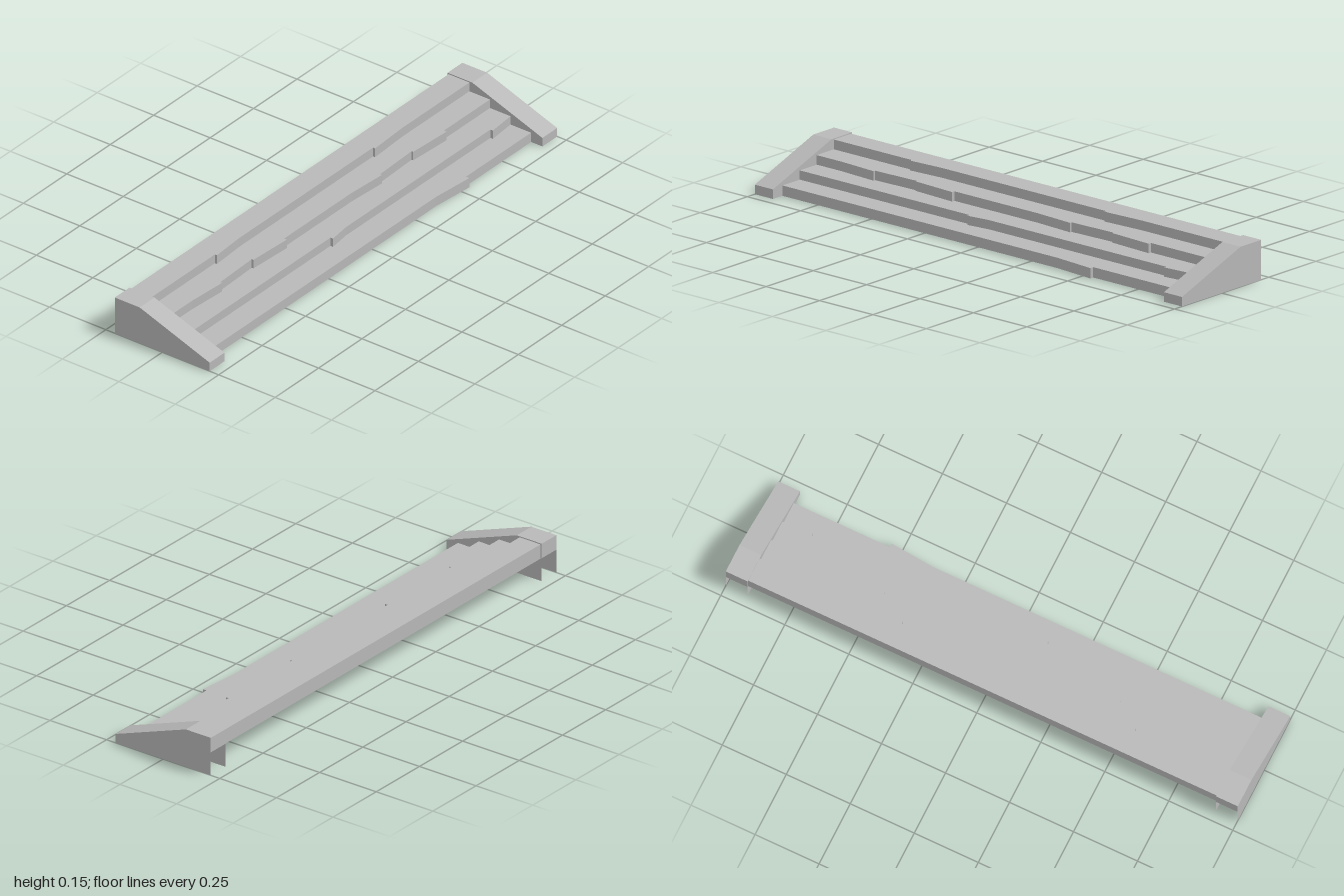
import * as THREE from 'three';

const END = 0.915, BACK = -0.205;

// Strip of quads hanging from a path of [x, z] points, between two heights
function wall(path, top, bottom) {
  const pos = [];
  for (let i = 0; i < path.length - 1; i++) {
    const [ax, az] = path[i], [bx, bz] = path[i + 1];
    pos.push(ax, bottom, az, bx, bottom, bz, bx, top, bz);
    pos.push(ax, bottom, az, bx, top, bz, ax, top, az);
  }
  const g = new THREE.BufferGeometry();
  g.setAttribute('position', new THREE.Float32BufferAttribute(pos, 3));
  g.computeVertexNormals();
  return g;
}

// Horizontal slab face between a back path and a front path
function tread(back, front, y) {
  const outline = [...front, ...[...back].reverse()];
  const shape = new THREE.Shape(outline.map(([x, z]) => new THREE.Vector2(x, -z)));
  return new THREE.ShapeGeometry(shape).rotateX(-Math.PI / 2).translate(0, y, 0);
}

// Strip across x following a [z, y] profile
function band(profile, x0, x1) {
  const pos = [];
  for (let i = 0; i < profile.length - 1; i++) {
    const [az, ay] = profile[i], [bz, by] = profile[i + 1];
    pos.push(x0, ay, az, x1, ay, az, x1, by, bz);
    pos.push(x0, ay, az, x1, by, bz, x0, by, bz);
  }
  const g = new THREE.BufferGeometry();
  g.setAttribute('position', new THREE.Float32BufferAttribute(pos, 3));
  g.computeVertexNormals();
  return g;
}

export function createModel() {
  const model = new THREE.Group();
  model.name = 'wideSteps';
  const stone = new THREE.MeshStandardMaterial({ color: 0xb8b8b8, side: THREE.DoubleSide });
  stone.name = 'greyStone';
  const add = (parent, name, geometry) => {
    const mesh = new THREE.Mesh(geometry, stone);
    mesh.name = name;
    parent.add(mesh);
  };

  // Nosing lines of the four steps, with small chipped offsets
  const heights = [0.143, 0.107, 0.072, 0.038, 0];
  const noses = [
    [[-END, -0.113], [-0.55, -0.113], [-0.55, -0.104], [-0.41, -0.113],
      [0.36, -0.113], [0.36, -0.104], [0.53, -0.113], [END, -0.113]],
    [[-END, -0.022], [-0.8, -0.022], [-0.64, -0.012], [-0.64, -0.02], [-0.45, -0.027],
      [-0.45, -0.02], [-0.27, -0.01], [-0.27, -0.022], [0.12, -0.022], [0.28, -0.012],
      [0.28, -0.02], [0.47, -0.027], [0.47, -0.02], [0.65, -0.01], [0.65, -0.022], [END, -0.022]],
    [[-END, 0.068], [-0.12, 0.068], [-0.12, 0.079], [-0.03, 0.068],
      [0.8, 0.068], [0.8, 0.079], [END, 0.069]],
    [[-END, 0.16], [0.37, 0.16], [0.54, 0.175], [0.54, 0.16], [END, 0.16]],
  ];
  const steps = new THREE.Group();
  steps.name = 'steps';
  const backLine = [[-END, BACK], [END, BACK]];
  noses.forEach((nose, i) => {
    add(steps, 'tread', tread(i ? noses[i - 1] : backLine, nose, heights[i]));
    add(steps, 'riser', wall(nose, heights[i], heights[i + 1]));
  });

  // Short lip down the back of the top step
  add(steps, 'backLip', wall([[END, BACK], [-END, BACK]], heights[0], 0.087));
  model.add(steps);

  // Hollow sloping side blocks, open below and at the lower back
  const side = new THREE.Shape([[-0.21, 0], [-0.21, 0.035], [0.1, 0.147], [0.21, 0.147], [0.21, 0]]
    .map(([x, y]) => new THREE.Vector2(x, y)));
  for (const s of [-1, 1]) {
    const block = new THREE.Group();
    block.name = s > 0 ? 'leftBlock' : 'rightBlock';
    for (const [name, x, dir] of [['outerWall', 1, s], ['innerWall', END, -s]]) {
      const g = new THREE.ShapeGeometry(side);
      // Mirror the profile when facing -x so the front end stays at +z
      if (dir < 0) {
        g.scale(-1, 1, 1);
        g.index.array.reverse();
        g.computeVertexNormals();
      }
      g.rotateY(dir * Math.PI / 2).translate(s * x, 0, 0);
      add(block, name, g);
    }
    const x0 = Math.min(s, s * END), x1 = Math.max(s, s * END);
    add(block, 'coping', band([[0.21, 0], [0.21, 0.035], [-0.1, 0.147], [-0.21, 0.147], [-0.21, 0.09]], x0, x1));
    model.add(block);
  }
  return model;
}
